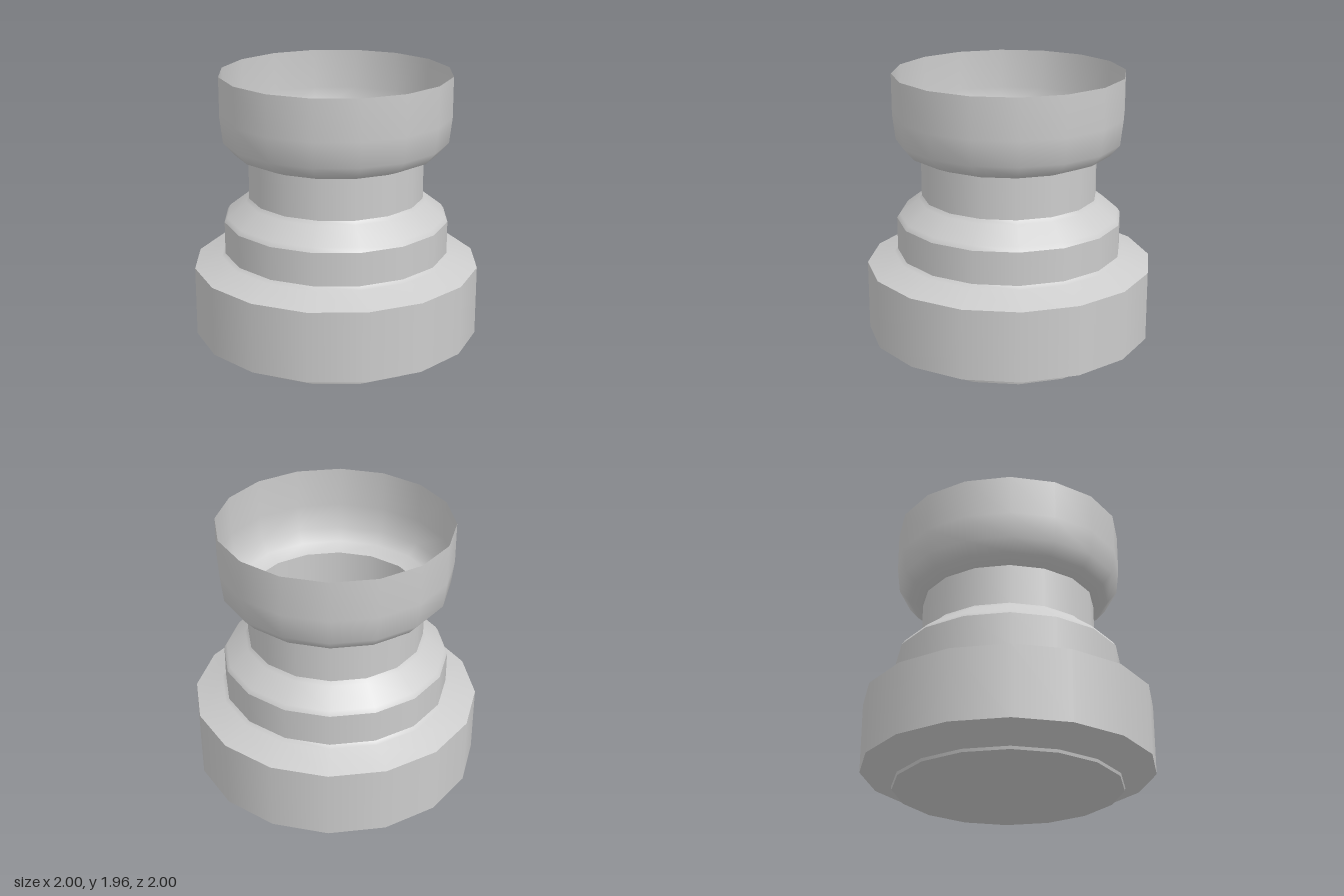
import * as THREE from 'three';

const SIDES = 16;

export function createModel() {
  const group = new THREE.Group();
  const material = new THREE.MeshStandardMaterial({ color: 0xcccccc, side: THREE.DoubleSide });

  // Each band is its own lathe, so the joints between bands stay crisp.
  const band = (name, profile) => {
    const points = profile.map(([r, y]) => new THREE.Vector2(r, y));
    const mesh = new THREE.Mesh(new THREE.LatheGeometry(points, SIDES), material);
    mesh.name = name;
    group.add(mesh);
  };

  // Foot: closed underside, low lip and chamfer
  band('underside', [[0, 0.005], [0.78, 0.005]]);
  band('footLip', [[0.78, 0.005], [0.785, 0.025]]);
  band('footChamfer', [[0.785, 0.025], [1, 0.125]]);

  // Wide base drum and its sloping shoulder
  band('baseDrum', [[1, 0.125], [1, 0.615]]);
  band('baseShoulder', [[1, 0.615], [0.81, 0.69], [0.785, 0.71]]);

  // Middle step, softened at the top, and its cone up to the neck
  band('middleStep', [[0.785, 0.71], [0.785, 0.94]]);
  band('middleShoulder', [[0.785, 0.94], [0.765, 0.97], [0.63, 1.075], [0.61, 1.1]]);

  // Hollow neck
  band('neck', [[0.61, 1.1], [0.61, 1.385]]);

  // Open thin-walled bowl
  band('bowl', [[0.61, 1.385], [0.71, 1.425], [0.78, 1.505], [0.8, 1.68], [0.8, 1.96]]);

  return group;
}
